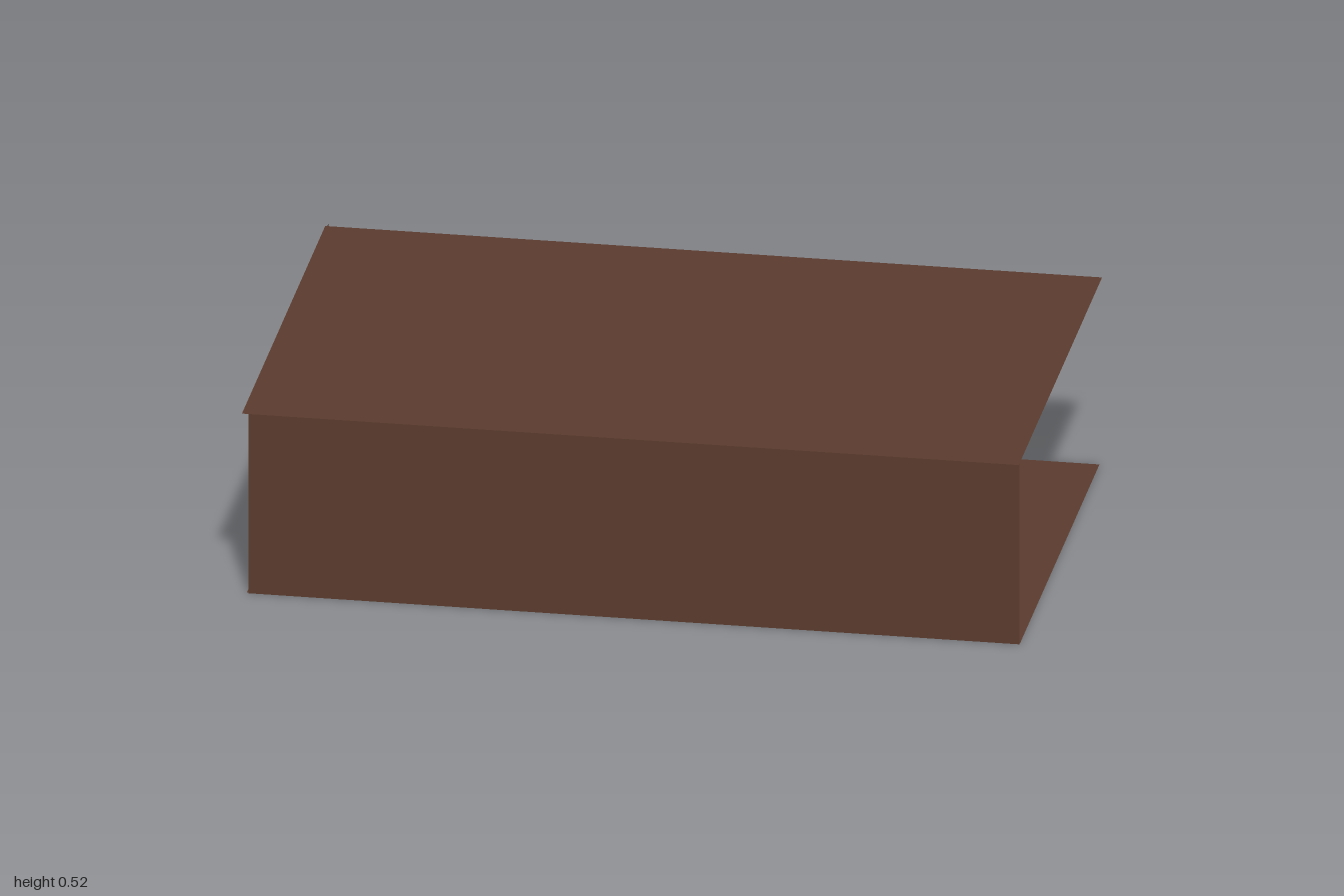
import * as THREE from 'three';

const brown = new THREE.MeshStandardMaterial({ color: 0x5b3c2e, side: THREE.DoubleSide });
brown.name = 'brown wood';
const grey = new THREE.MeshStandardMaterial({ color: 0x5b6265, side: THREE.DoubleSide });
grey.name = 'grey metal';
const red = new THREE.MeshStandardMaterial({ color: 0x63301f });
red.name = 'bottle red brown';

function add(parent, name, geo, mat, x = 0, y = 0, z = 0) {
  const m = new THREE.Mesh(geo, mat);
  m.name = name;
  m.position.set(x, y, z);
  parent.add(m);
  return m;
}

function group(parent, name, x = 0, y = 0, z = 0) {
  const g = new THREE.Group();
  g.name = name;
  g.position.set(x, y, z);
  parent.add(g);
  return g;
}

// vertical cylinder given by its bottom and top heights
function post(parent, name, rTop, rBottom, y0, y1, x = 0, z = 0, mat = grey, sides = 24) {
  return add(parent, name, new THREE.CylinderGeometry(rTop, rBottom, y1 - y0, sides), mat, x, (y0 + y1) / 2, z);
}

function lathe(parent, name, pts, mat, x = 0, y = 0, z = 0) {
  return add(parent, name, new THREE.LatheGeometry(pts.map(p => new THREE.Vector2(...p)), 24), mat, x, y, z);
}

function ring(parent, name, r, tube, y) {
  add(parent, name, new THREE.TorusGeometry(r, tube, 8, 28), grey, 0, y, 0).rotation.x = Math.PI / 2;
}

// bar stool standing on its own origin
function stool(parent, name, x, y, z) {
  const s = group(parent, name, x, y, z);
  lathe(s, 'seat', [[0, 0.126], [0.031, 0.126], [0.035, 0.13], [0.036, 0.136], [0.034, 0.141], [0.028, 0.143], [0, 0.143]], grey);
  post(s, 'seatPan', 0.03, 0.03, 0.118, 0.127);
  ring(s, 'upperRing', 0.033, 0.002, 0.107);
  ring(s, 'footRing', 0.036, 0.002, 0.077);
  for (let i = 0; i < 4; i++) {
    const a = Math.PI / 4 + i * Math.PI / 2 + 0.2;
    post(s, 'leg', 0.0028, 0.0028, 0, 0.122, Math.cos(a) * 0.032, Math.sin(a) * 0.032, grey, 8);
  }
  return s;
}

function room(parent) {
  const r = group(parent, 'room');
  add(r, 'floor', new THREE.PlaneGeometry(1.99, 1.194), brown, -0.005, 0.002, -0.04).rotation.x = -Math.PI / 2;
  add(r, 'ceiling', new THREE.PlaneGeometry(2, 1.25), brown, 0, 0.525, 0.007).rotation.x = -Math.PI / 2;
  add(r, 'frontWall', new THREE.PlaneGeometry(1.985, 0.524), brown, -0.003, 0.262, 0.557);
  add(r, 'sideWall', new THREE.PlaneGeometry(1.194, 0.524), brown, -0.995, 0.262, -0.04).rotation.y = Math.PI / 2;
}

function table(parent) {
  const t = group(parent, 'table', 0, 0, 0.034);
  lathe(t, 'tableBase', [[0, 0], [0.057, 0], [0.057, 0.006], [0.045, 0.012], [0.02, 0.018], [0.016, 0.026]], grey);
  post(t, 'pedestal', 0.016, 0.016, 0.02, 0.192);
  post(t, 'tableTop', 0.148, 0.148, 0.192, 0.197, 0, 0, grey, 40);

  // covered dish in the middle
  post(t, 'dishFoot', 0.036, 0.04, 0.197, 0.214);
  post(t, 'dishBody', 0.045, 0.045, 0.216, 0.23);
  lathe(t, 'dishLid', [[0.042, 0.23], [0.04, 0.236], [0.02, 0.24], [0.007, 0.243], [0.004, 0.25], [0.007, 0.256], [0.003, 0.262], [0, 0.266]], grey);

  // things left on the table
  lathe(t, 'bottle', [[0, 0], [0.008, 0], [0.008, 0.024], [0.004, 0.032], [0.003, 0.045], [0, 0.045]], red, 0.05, 0.197, 0.075);
  lathe(t, 'ashtray', [[0, 0.002], [0.01, 0.002], [0.014, 0.01], [0.011, 0], [0, 0]], grey, 0.04, 0.197, 0.108);
  post(t, 'cup', 0.006, 0.005, 0.197, 0.21, 0.05, -0.1);
}

function ceilingFan(parent) {
  const f = group(parent, 'ceilingFan', 0, 0, 0.017);
  lathe(f, 'canopy', [[0, 0.47], [0.012, 0.47], [0.022, 0.478], [0.044, 0.498], [0.049, 0.506], [0.046, 0.518], [0.04, 0.523], [0, 0.523]], grey);
  post(f, 'rod', 0.005, 0.005, 0.433, 0.472, 0, 0, grey, 12);
  lathe(f, 'motor', [[0, 0.4], [0.06, 0.4], [0.064, 0.403], [0.064, 0.432], [0.06, 0.436], [0, 0.436]], grey);
  lathe(f, 'hub', [[0, 0.368], [0.02, 0.368], [0.025, 0.378], [0.03, 0.39], [0.036, 0.4]], grey);
  const shape = new THREE.Shape();
  shape.moveTo(0.03, -0.01);
  shape.lineTo(0.115, -0.017);
  shape.quadraticCurveTo(0.127, -0.016, 0.127, 0);
  shape.quadraticCurveTo(0.127, 0.016, 0.115, 0.017);
  shape.lineTo(0.03, 0.01);
  const bladeGeo = new THREE.ExtrudeGeometry(shape, { depth: 0.003, bevelEnabled: false, curveSegments: 6 });
  bladeGeo.rotateX(-Math.PI / 2);
  for (let i = 0; i < 5; i++) {
    add(f, 'blade', bladeGeo, grey, 0, 0.38, 0).rotation.y = Math.PI / 2 + i * Math.PI * 0.4;
  }
  // small lamps under the hub
  for (let i = 0; i < 4; i++) {
    const a = Math.PI / 4 + i * Math.PI / 2;
    add(f, 'lamp', new THREE.SphereGeometry(0.011, 14, 10), grey, Math.cos(a) * 0.028, 0.363, Math.sin(a) * 0.028);
  }
  post(f, 'lampHolder', 0.02, 0.012, 0.352, 0.37);
}

export function createModel() {
  const model = new THREE.Group();
  model.name = 'barRoom';
  room(model);
  table(model);
  ceilingFan(model);
  stool(model, 'frontStool', 0, 0.002, 0.226);
  stool(model, 'backStool', 0, 0.002, -0.198);
  stool(model, 'sideStool', -0.25, 0.002, 0.003);

  // stool lying on its side, feet towards the open end
  const fallen = stool(model, 'fallenStool', 0.38, 0.035, 0.045);
  const axis = new THREE.Vector3(-0.13, 0.01, -0.055).normalize();
  fallen.quaternion.setFromUnitVectors(new THREE.Vector3(0, 1, 0), axis);
  return model;
}
